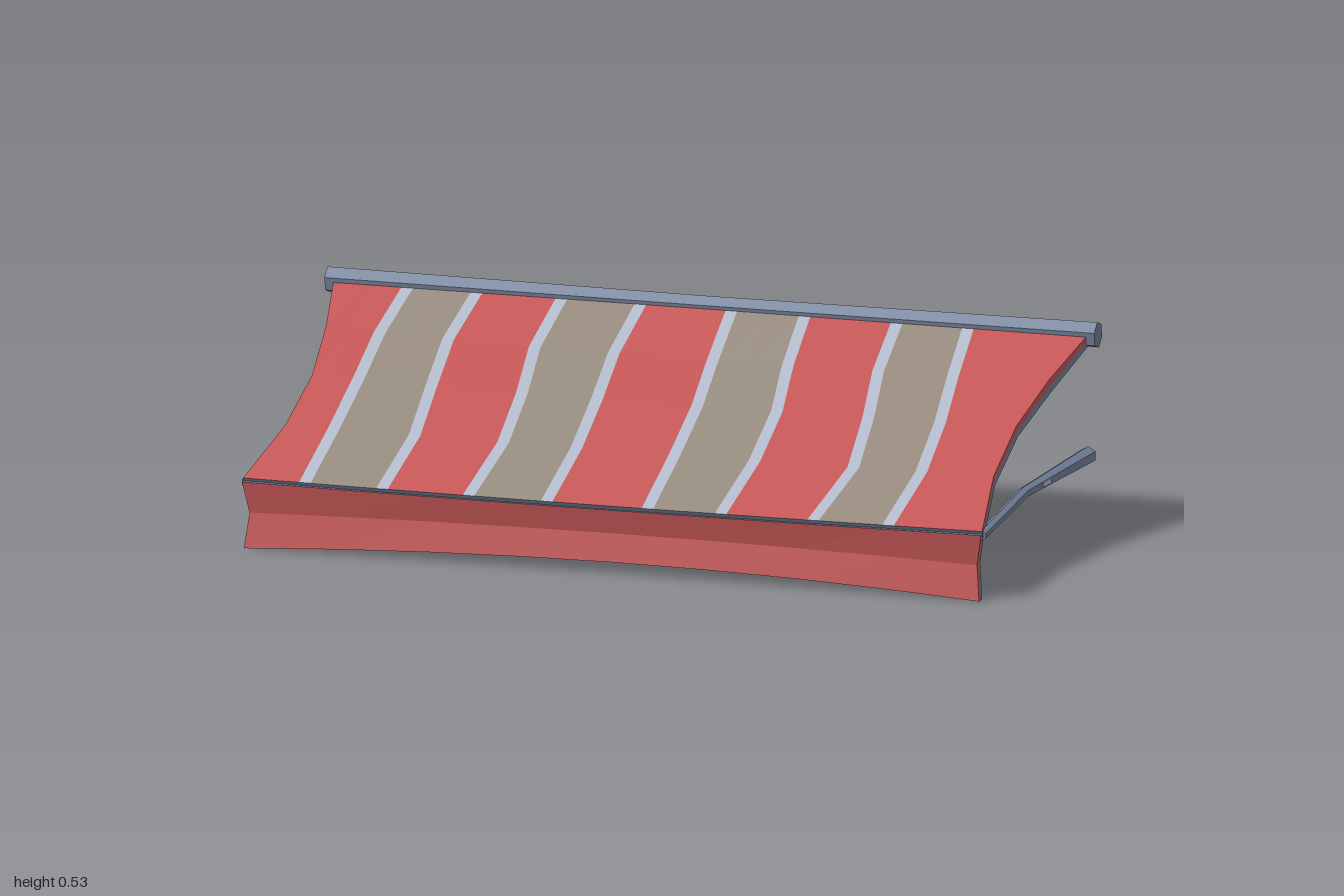
import * as THREE from 'three';

export function createModel() {
  const model = new THREE.Group();
  model.name = 'awning';
  const paint = (name, color) => {
    const m = new THREE.MeshStandardMaterial({ color, side: THREE.DoubleSide, flatShading: true });
    m.name = name;
    return m;
  };
  const red = paint('red cloth', 0xc45656);
  const taupe = paint('taupe stripe', 0x968a7e);
  const pale = paint('pale stripe edge', 0xb2bacb);
  const slate = paint('slate metal', 0x74829a);

  const add = (name, geometry, material, parent = model) => {
    const mesh = new THREE.Mesh(geometry, material);
    mesh.name = name;
    parent.add(mesh);
    return mesh;
  };

  // Surface through a grid of points, point(row, column)
  function sheet(name, rows, cols, point, material, parent, flip = false) {
    const pos = [], index = [];
    for (let i = 0; i < rows; i++) for (let j = 0; j < cols; j++) pos.push(...point(i, j));
    for (let i = 0; i < rows - 1; i++) for (let j = 0; j < cols - 1; j++) {
      const a = i * cols + j, b = a + 1, c = a + cols, d = c + 1;
      if (flip) index.push(a, b, c, b, d, c);
      else index.push(a, c, b, b, c, d);
    }
    const g = new THREE.BufferGeometry();
    g.setAttribute('position', new THREE.Float32BufferAttribute(pos, 3));
    g.setIndex(index);
    g.computeVertexNormals();
    return add(name, g, material, parent);
  }
  const mix = (a, b, t) => a.map((v, k) => v + (b[k] - v) * t);

  // Canopy cross-sections from the roller to the front edge
  const rowZ = [-0.38, -0.19, 0, 0.2, 0.42];
  const topY = [0.501, 0.426, 0.348, 0.266, 0.176];
  const thick = [0.028, 0.036, 0.03, 0.026, 0.02];
  const sag = [0, 0.014, 0.009, 0.007, 0.004];
  const edgeX = [0.98, 0.94, 0.915, 0.92, 0.96];
  // Centre lines of the pale bands at each cross-section
  const bands = [
    [-0.785, -0.80, -0.795, -0.795, -0.80],
    [-0.605, -0.622, -0.605, -0.585, -0.60],
    [-0.385, -0.397, -0.37, -0.355, -0.375],
    [-0.18, -0.192, -0.175, -0.165, -0.172],
    [0.055, 0.065, 0.085, 0.09, 0.09],
    [0.245, 0.26, 0.292, 0.298, 0.28],
    [0.485, 0.495, 0.53, 0.555, 0.52],
    [0.67, 0.69, 0.717, 0.732, 0.715],
  ];
  const canopy = new THREE.Group();
  canopy.name = 'canopy';
  model.add(canopy);
  const cloth = (i, x, down) => {
    const dip = sag[i] * (1 - (x / edgeX[i]) ** 2);
    return [x, topY[i] - dip - thick[i] * down, rowZ[i] - 0.012 * down];
  };

  // Stripe borders from one side to the other
  const borders = [edgeX.map(x => -x)];
  for (const b of bands) borders.push(b.map(x => x - 0.015), b.map(x => x + 0.015));
  borders.push(edgeX);
  for (let s = 0; s < borders.length - 1; s++) {
    const mat = s % 2 ? pale : s % 4 === 2 ? taupe : red;
    for (const down of [0, 1]) {
      sheet(down ? 'canopyUnderside' : 'canopyTop', 5, 3, (i, j) =>
        cloth(i, borders[s][i] + (borders[s + 1][i] - borders[s][i]) * j / 2, down), mat, canopy, down === 1);
    }
  }
  // Canopy hems: red above, slate below
  for (const side of [-1, 1]) {
    for (const [name, mat, from] of [['canopyHem', red, 0], ['canopySideTrim', slate, 0.5]]) {
      sheet(name, 5, 2, (i, j) => cloth(i, side * edgeX[i], from + j / 2), mat, canopy, side > 0);
    }
  }
  sheet('canopyFrontTrim', 2, 9, (i, j) => cloth(4, -0.96 + 0.24 * j, i), slate, canopy);

  // Hanging valance: three levels, bent inward at mid height, arched lower edge
  const valance = new THREE.Group();
  valance.name = 'valance';
  model.add(valance);
  const levels = [[0.168, 0.43, 0.96], [0.088, 0.415, 0.945], [0, 0.43, 0.955]];
  const rise = [-0.006, 0.012, 0.03];
  const flap = (i, u, depth) => {
    const [y, z, w] = levels[i], mid = 1 - u * u;
    return [u * w, y + rise[i] * mid, z - 0.008 * mid - 0.026 * depth];
  };
  const across = j => -1 + j / 4;
  sheet('valanceFront', 3, 9, (i, j) => flap(i, across(j), 0), red, valance);
  sheet('valanceBack', 3, 9, (i, j) => flap(i, across(j), 1), red, valance, true);
  sheet('valanceTopTrim', 2, 9, (i, j) => flap(0, across(j), 1 - i), slate, valance);
  sheet('valanceBottomTrim', 2, 9, (i, j) => flap(2, across(j), i), slate, valance);
  for (const side of [-1, 1]) {
    for (const [name, mat, from] of [['valanceHem', red, 0], ['valanceSideTrim', slate, 0.5]]) {
      sheet(name, 3, 2, (i, j) => flap(i, side, from + j / 2), mat, valance, side < 0);
    }
  }

  // Six-sided bar through three stations [x, y, z, radius], along x or z
  function hexBar(name, stations, alongX, turn) {
    const g = new THREE.CylinderGeometry(1, 1, 2, 6, 2).rotateY(turn);
    const p = g.attributes.position;
    for (let i = 0; i < p.count; i++) {
      const [x, y, z, r] = stations[Math.round(p.getY(i)) + 1];
      const a = p.getX(i) * r, b = p.getZ(i) * r;
      if (alongX) p.setXYZ(i, x, y + b, z + a);
      else p.setXYZ(i, x + b, y + a, z);
    }
    g.computeVertexNormals();
    return add(name, g, slate);
  }
  hexBar('rollerTube', [
    [-1, 0.497, -0.398, 0.034], [0, 0.496, -0.398, 0.03], [1, 0.497, -0.398, 0.034],
  ], true, 0.2);

  // Support arms with a slight bend and a pale worn patch
  for (const side of [-1, 1]) {
    hexBar(side > 0 ? 'leftArm' : 'rightArm', [
      [side * 0.968, 0.185, -0.415, 0.023],
      [side * 0.94, 0.184, 0.02, 0.015],
      [side * 0.955, 0.163, 0.41, 0.013],
    ], false, Math.PI / 6);
    const patch = add('armPatch', new THREE.BoxGeometry(0.004, 0.014, 0.05), pale);
    patch.position.set(side * 0.9625, 0.185, -0.1);
    patch.rotation.y = -side * 0.08;
  }
  return model;
}
